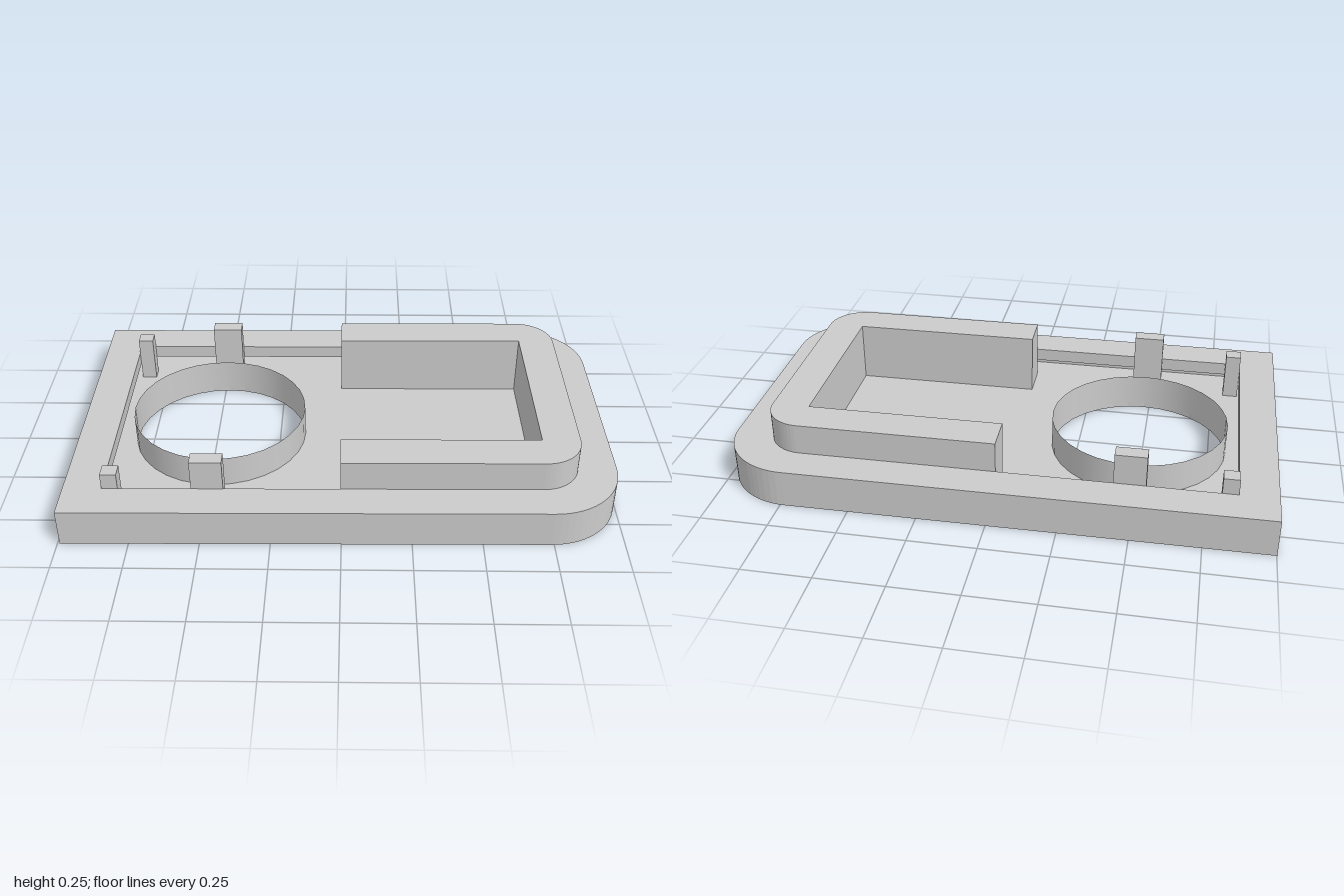
import * as THREE from 'three';

const material = new THREE.MeshStandardMaterial({ color: 0xcccccc, flatShading: true });
const FLOOR = 0.02, LIP = 0.09, RIM = 0.14, TOP = 0.255;
const HOLE = { x: -0.482, z: -0.024, r: 0.333 };

// Plate outline: square corners on one end, rounded corners on the other
function outline(path, x0, x1, halfZ, r) {
  path.moveTo(x0, -halfZ);
  path.lineTo(x1 - r, -halfZ);
  path.absarc(x1 - r, -halfZ + r, r, -Math.PI / 2, 0, false);
  path.lineTo(x1, halfZ - r);
  path.absarc(x1 - r, halfZ - r, r, 0, Math.PI / 2, false);
  path.lineTo(x0, halfZ);
  path.closePath();
  return path;
}

const plate = () => outline(new THREE.Shape(), -0.997, 0.997, 0.618, 0.26);

// Extrude a plan shape upward between two heights
function slab(name, shape, y0, y1) {
  const geo = new THREE.ExtrudeGeometry(shape, { depth: y1 - y0, bevelEnabled: false, curveSegments: 8 });
  geo.rotateX(-Math.PI / 2);
  geo.translate(0, y0, 0);
  const mesh = new THREE.Mesh(geo, material);
  mesh.name = name;
  return mesh;
}

export function createModel() {
  const group = new THREE.Group();
  group.name = 'coverPlate';

  // Thin floor with the round opening
  const floor = plate();
  const hole = new THREE.Path();
  for (let i = 0; i < 32; i++) {
    const a = (i / 32) * Math.PI * 2;
    const x = HOLE.x + HOLE.r * Math.sin(a), y = -HOLE.z + HOLE.r * Math.cos(a);
    i ? hole.lineTo(x, y) : hole.moveTo(x, y);
  }
  hole.closePath();
  floor.holes.push(hole);
  group.add(slab('floor', floor, 0, FLOOR));

  // Outer wall, undercut below the rim
  const wall = plate();
  wall.holes.push(outline(new THREE.Path(), -0.975, 0.975, 0.596, 0.24));
  group.add(slab('outerWall', wall, FLOOR, LIP));

  // Flat rim around the recess
  const rim = plate();
  rim.holes.push(outline(new THREE.Path(), -0.858, 0.855, 0.482, 0.14));
  group.add(slab('rim', rim, LIP, RIM));

  // Tall U-shaped wall at the rounded end
  const u = new THREE.Shape();
  const r = 0.14, x1 = 0.856, h = 0.483;
  u.moveTo(-0.008, -h);
  u.lineTo(x1 - r, -h);
  u.absarc(x1 - r, -h + r, r, -Math.PI / 2, 0, false);
  u.lineTo(x1, h - r);
  u.absarc(x1 - r, h - r, r, 0, Math.PI / 2, false);
  u.lineTo(-0.008, h);
  u.lineTo(-0.008, 0.342);
  u.lineTo(0.717, 0.342);
  u.lineTo(0.717, -0.342);
  u.lineTo(-0.008, -0.342);
  u.closePath();
  group.add(slab('raisedWall', u, FLOOR, TOP));

  // Thin collar around the opening
  const collarMaterial = material.clone();
  collarMaterial.side = THREE.DoubleSide;
  collarMaterial.flatShading = false;
  const collar = new THREE.Mesh(
    new THREE.CylinderGeometry(HOLE.r, HOLE.r, RIM, 32, 1, true), collarMaterial);
  collar.position.set(HOLE.x, RIM / 2, HOLE.z);
  collar.name = 'collar';
  group.add(collar);

  // Posts along both long sides
  for (const side of [-1, 1]) {
    for (const [name, a, b, top] of [['cornerPost', -0.858, -0.8, 0.2], ['sidePost', -0.54, -0.425, TOP]]) {
      const post = new THREE.Mesh(new THREE.BoxGeometry(b - a, top - FLOOR, 0.056), material);
      post.position.set((a + b) / 2, (top + FLOOR) / 2, side * 0.455);
      post.name = name;
      group.add(post);
    }
  }

  // Slight turn of the whole plate
  group.rotation.y = 0.0075;
  return group;
}
